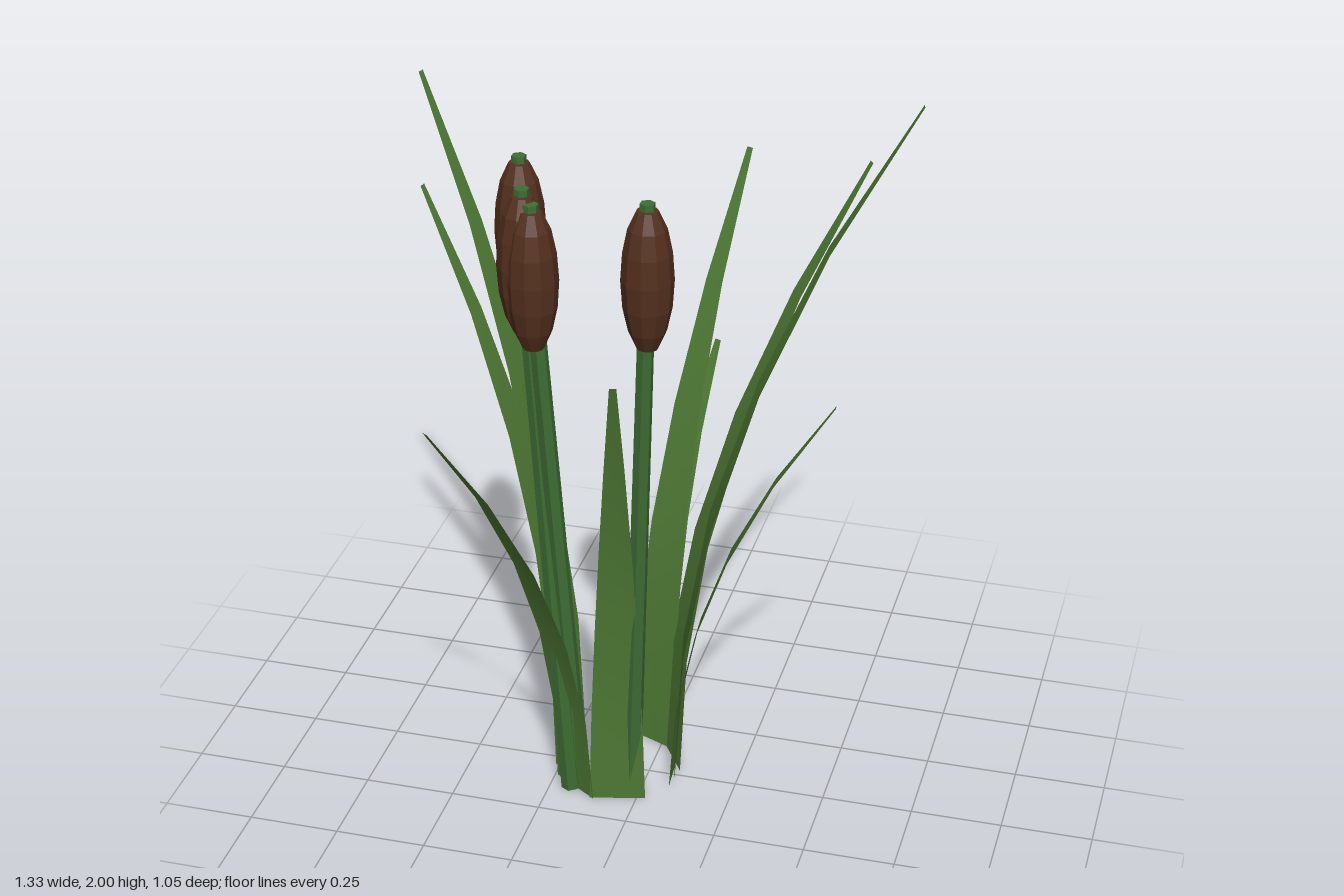
import * as THREE from 'three';

const CENTRE = new THREE.Vector2(-0.09, 0); // middle of the clump (x, z)

const leafMat = new THREE.MeshStandardMaterial({ color: 0x4f7a35, side: THREE.DoubleSide });
const stemMat = new THREE.MeshStandardMaterial({ color: 0x3f6e34, flatShading: true });
const headMat = new THREE.MeshStandardMaterial({ color: 0x54301e, flatShading: true });

// Flat tapering blade that rises from a ring and bends outwards to its tip
function makeLeaf(tipX, tipY, tipZ) {
  const reach = new THREE.Vector2(tipX, tipZ).sub(CENTRE);
  const length = reach.length();
  const dir = reach.normalize();
  const ring = 0.158;
  const steps = 5;
  const positions = [];
  const indices = [];
  for (let i = 0; i <= steps; i++) {
    const t = i / steps;
    const out = ring + (length - ring) * t ** 2.05;
    const half = 0.077 * (1 - 0.88 * t ** 1.35);
    const x = CENTRE.x + dir.x * out;
    const z = CENTRE.y + dir.y * out;
    for (const s of [1, -1]) {
      positions.push(x - dir.y * half * s, tipY * t, z + dir.x * half * s);
    }
    if (i < steps) {
      const a = i * 2;
      indices.push(a, a + 2, a + 1, a + 1, a + 2, a + 3);
    }
  }
  const geo = new THREE.BufferGeometry();
  geo.setAttribute('position', new THREE.Float32BufferAttribute(positions, 3));
  geo.setIndex(indices);
  geo.computeVertexNormals();
  const leaf = new THREE.Mesh(geo, leafMat);
  leaf.name = 'leaf';
  return leaf;
}

// Cylinder running between two points
function makeRod(from, to, rBottom, rTop, name) {
  const axis = to.clone().sub(from);
  const rod = new THREE.Mesh(new THREE.CylinderGeometry(rTop, rBottom, axis.length(), 6), stemMat);
  rod.position.copy(from).add(to).multiplyScalar(0.5);
  rod.quaternion.setFromUnitVectors(new THREE.Vector3(0, 1, 0), axis.normalize());
  rod.name = name;
  return rod;
}

// Leaning stem with a brown seed head and a short stub on top
function makeReed([baseX, baseZ], [x, y, z]) {
  const reed = new THREE.Group();
  reed.name = 'reed';
  const middle = new THREE.Vector3(x, y, z);
  reed.add(makeRod(new THREE.Vector3(baseX, 0, baseZ), middle, 0.027, 0.022, 'stem'));
  reed.add(makeRod(middle, new THREE.Vector3(x, y + 0.208, z), 0.022, 0.02, 'stub'));

  const profile = [
    [0, -0.193], [0.028, -0.188], [0.049, -0.14], [0.063, -0.075], [0.068, 0],
    [0.063, 0.075], [0.05, 0.14], [0.028, 0.188], [0, 0.193],
  ].map(([r, h]) => new THREE.Vector2(r, h));
  const head = new THREE.Mesh(new THREE.LatheGeometry(profile, 10), headMat);
  head.position.copy(middle);
  head.name = 'seedHead';
  reed.add(head);
  return reed;
}

export function createModel() {
  const model = new THREE.Group();
  model.name = 'reedClump';

  // Leaf tips
  const tips = [
    [0.14, 1.7, -0.52], [0.5, 1.76, -0.37], [0.66, 2.0, -0.2],
    [0.49, 1.2, -0.05], [0.085, 1.17, -0.41], [-0.66, 1.97, -0.17],
    [-0.65, 1.67, -0.12], [-0.44, 1.29, 0.52], [0.01, 1.41, 0.385],
  ];
  for (const tip of tips) model.add(makeLeaf(...tip));

  // Stem foot (x, z) and seed head middle (x, y, z)
  const reeds = [
    [[-0.218, -0.03], [-0.362, 1.605, -0.057]],
    [[-0.192, 0.128], [-0.268, 1.642, 0.22]],
    [[-0.168, 0.11], [-0.238, 1.612, 0.243]],
    [[-0.02, 0.115], [0.06, 1.648, 0.238]],
  ];
  for (const [foot, head] of reeds) model.add(makeReed(foot, head));

  return model;
}
